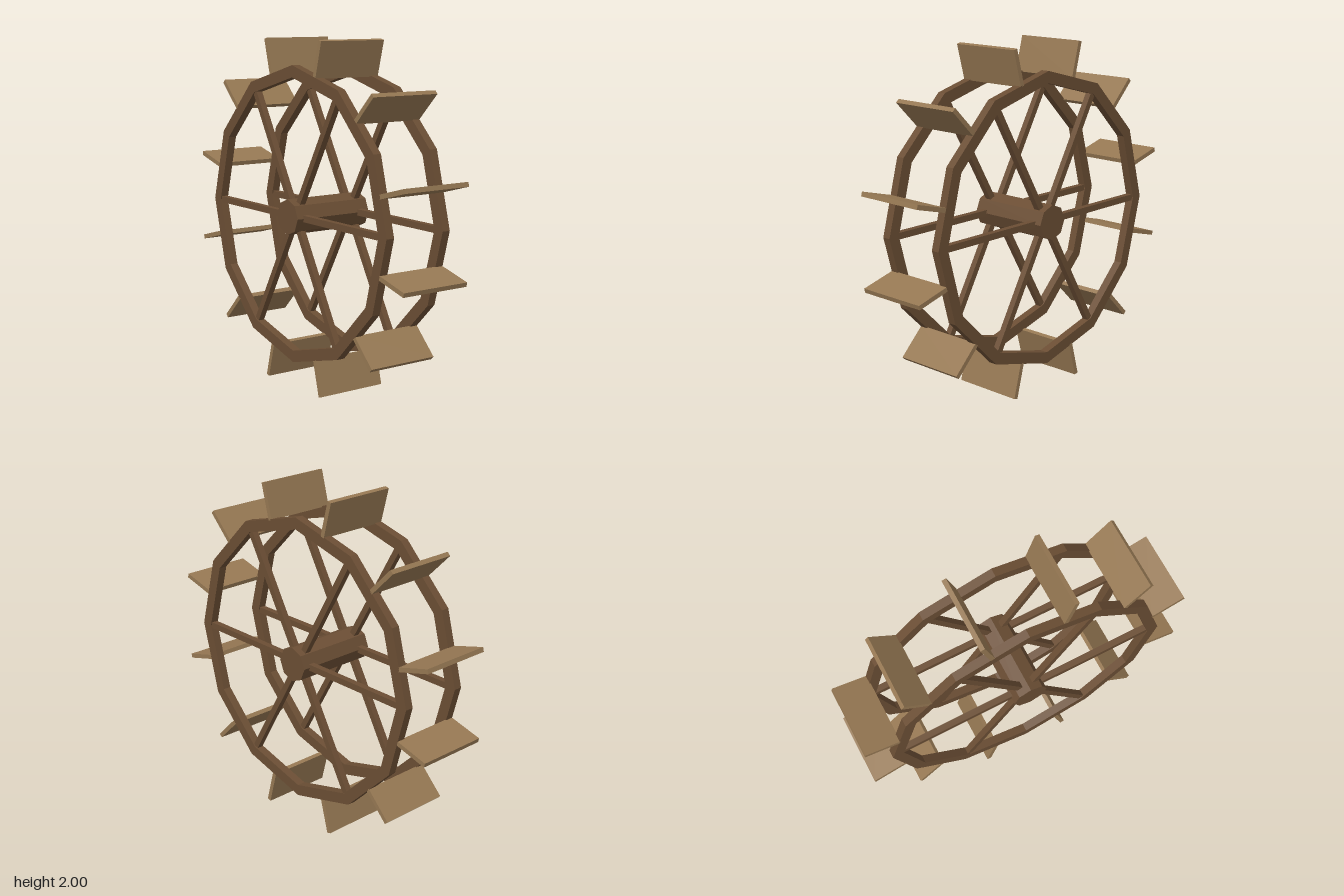
import * as THREE from 'three';

const SIDES = 12, RIM_OUTER = 0.855, RIM_INNER = 0.787, RIM_Z = 0.19, RIM_DEPTH = 0.05;
const PADDLE_IN = 0.82, PADDLE_OUT = 1.032;

const darkWood = new THREE.MeshStandardMaterial({ color: 0x6b4e34, flatShading: true });
darkWood.name = 'darkWood';
const paddleWood = new THREE.MeshStandardMaterial({ color: 0x967853, flatShading: true });
paddleWood.name = 'paddleWood';

function polygon(radius) {
  return Array.from({ length: SIDES }, (_, i) => {
    const a = (i / SIDES) * Math.PI * 2;
    return new THREE.Vector2(Math.cos(a) * radius, Math.sin(a) * radius);
  });
}

// A bar running outward from the axle between two radii
function radialBar(name, from, to, thickness, depth, angle, z, material) {
  const bar = new THREE.Mesh(new THREE.BoxGeometry(to - from, thickness, depth), material);
  const mid = (from + to) / 2;
  bar.position.set(Math.cos(angle) * mid, Math.sin(angle) * mid, z);
  bar.rotation.z = angle;
  bar.name = name;
  return bar;
}

export function createModel() {
  const wheel = new THREE.Group();
  wheel.name = 'waterWheel';
  wheel.position.y = 1;

  // Octagonal hub
  const hub = new THREE.Mesh(new THREE.CylinderGeometry(0.103, 0.103, 0.5, 8), darkWood);
  hub.rotation.x = Math.PI / 2;
  hub.name = 'hub';
  wheel.add(hub);

  // Twelve-sided rims, each with six spokes
  const ring = new THREE.Shape(polygon(RIM_OUTER));
  ring.holes.push(new THREE.Path(polygon(RIM_INNER).reverse()));
  const rimGeometry = new THREE.ExtrudeGeometry(ring, { depth: RIM_DEPTH, bevelEnabled: false });
  rimGeometry.translate(0, 0, -RIM_DEPTH / 2);
  for (const side of [1, -1]) {
    const label = side > 0 ? 'front' : 'back';
    const rim = new THREE.Mesh(rimGeometry, darkWood);
    rim.position.z = side * RIM_Z;
    rim.name = label + 'Rim';
    wheel.add(rim);
    for (let i = 0; i < 6; i++) {
      wheel.add(radialBar(label + 'Spoke', 0.05, 0.8, 0.037, 0.037, (i * Math.PI) / 3, side * RIM_Z, darkWood));
    }
  }

  // Paddles at the middle of each rim segment
  for (let i = 0; i < SIDES; i++) {
    const angle = ((i + 0.5) / SIDES) * Math.PI * 2;
    wheel.add(radialBar('paddle', PADDLE_IN, PADDLE_OUT, 0.026, 0.43, angle, 0, paddleWood));
  }

  const model = new THREE.Group();
  model.add(wheel);
  return model;
}
